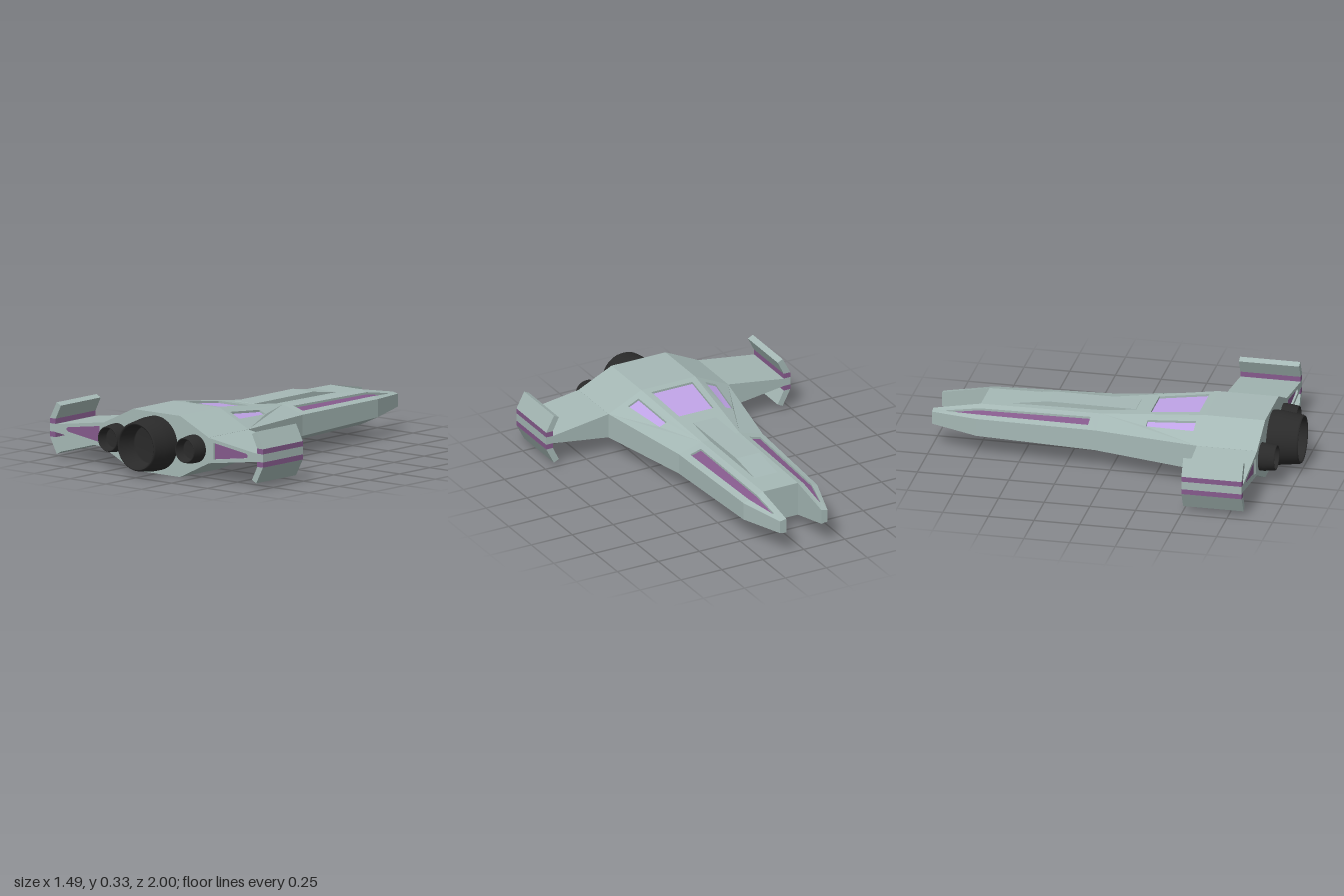
import * as THREE from 'three';
import { mergeGeometries } from 'three/addons/utils/BufferGeometryUtils.js';

const mat = (color, extra = {}) => new THREE.MeshStandardMaterial({ color, ...extra });
const HULL = mat(0xa5b8b5, { flatShading: true });
const HULL2 = mat(0xa5b8b5, { flatShading: true, side: THREE.DoubleSide });
const PURPLE = mat(0x855a8c, { flatShading: true });
const GLASS = mat(0xbfa3e6, { flatShading: true });
const DARK = mat(0x2a2a2a);

// Hull stations from tail to nose: inner/outer half-widths and the four corner heights
const S = [
  { z: 0.83, xi: 0.165, xo: 0.365, yt: 0.335, yu: 0.24, yl: 0.1, yb: 0.003 },
  { z: 0.5, xi: 0.165, xo: 0.365, yt: 0.335, yu: 0.24, yl: 0.1, yb: 0.003 },
  { z: -0.08, xi: 0.115, xo: 0.255, yt: 0.268, yu: 0.228, yl: 0.113, yb: 0.055 },
  { z: -0.74, xi: 0.107, xo: 0.225, yt: 0.26, yu: 0.22, yl: 0.122, yb: 0.07 },
  { z: -1, xi: 0.107, xo: 0.145, yt: 0.212, yu: 0.205, yl: 0.135, yb: 0.13 },
];

// Height of the upper skin at any point
function topY(x, z) {
  let i = 0;
  while (i < S.length - 2 && z < S[i + 1].z) i++;
  const a = S[i], b = S[i + 1], t = (a.z - z) / (a.z - b.z);
  const at = (k) => a[k] + (b[k] - a[k]) * t;
  const u = Math.max(0, (Math.abs(x) - at('xi')) / (at('xo') - at('xi')));
  return at('yt') + (at('yu') - at('yt')) * u;
}

// Flat outline in x,z draped on the upper skin, optionally pierced or sunk
function skin(outline, s = 1, hole = null, sink = 0) {
  const vec = (p) => new THREE.Vector2(p[0] * s, -p[1]);
  const shape = new THREE.Shape(outline.map(vec));
  if (hole) shape.holes.push(new THREE.Path(hole.map(vec)));
  const g = new THREE.ShapeGeometry(shape).toNonIndexed();
  const p = g.attributes.position;
  for (let i = 0; i < p.count; i++) {
    const x = p.getX(i), z = -p.getY(i);
    p.setXYZ(i, x, topY(x, z) - sink, z);
  }
  g.deleteAttribute('uv');
  g.computeVertexNormals();
  return g;
}

function soup(positions) {
  const g = new THREE.BufferGeometry();
  g.setAttribute('position', new THREE.Float32BufferAttribute(positions, 3));
  g.computeVertexNormals();
  return g;
}

// Adds a quad, mirrored in x when s is -1
function quad(out, s, a, b, c, d) {
  const q = s > 0 ? [a, b, c, d] : [d, c, b, a];
  for (const k of [0, 1, 2, 0, 2, 3]) out.push(q[k][0] * s, q[k][1], q[k][2]);
}

// Extruded x,y outline running from z0 to z1
function slab(points, s, z0, z1, holePts) {
  const vec = (p) => new THREE.Vector2(p[0] * s, p[1]);
  const shape = new THREE.Shape(points.map(vec));
  if (holePts) shape.holes.push(new THREE.Path(holePts.map(vec)));
  return new THREE.ExtrudeGeometry(shape, { depth: z1 - z0, bevelEnabled: false }).translate(0, 0, z0);
}

export function createModel() {
  const model = new THREE.Group();
  const add = (name, geo, material) => {
    const m = new THREE.Mesh(geo, material);
    m.name = name;
    model.add(m);
    return m;
  };

  // Recess outlines
  const DEPTH = 0.012;
  const canopy = [[-0.105, 0.19], [0.105, 0.19], [0.125, 0.46], [-0.125, 0.46]];
  const sideWindow = [[0.18, 0.19], [0.225, 0.19], [0.268, 0.46], [0.203, 0.46]];
  const stripRear = [[0.143, -0.74], [0.148, -0.13], [0.214, -0.13], [0.19, -0.74]];
  const stripNose = [[0.19, -0.74], [0.146, -0.92], [0.139, -0.92], [0.143, -0.74]];

  // Hull shell
  const faces = [], panels = [], walls = [];
  for (let i = 0; i < 4; i++) {
    const a = S[i], b = S[i + 1], prong = i === 3;
    if (!prong) {
      panels.push(skin([[-a.xi, a.z], [a.xi, a.z], [b.xi, b.z], [-b.xi, b.z]], 1, i === 1 ? canopy : null));
    }
    const ring = (q) => [[q.xi, q.yt, q.z], [q.xo, q.yu, q.z], [q.xo, q.yl, q.z], [q.xi, q.yb, q.z],
      prong ? [q.xi, q.yt, q.z] : [0, q.yb, q.z]];
    const A = ring(a), B = ring(b);
    const notchA = i === 3 ? stripNose : [];
    const notchB = i === 2 ? [...stripRear].reverse() : [];
    const outline = [[a.xi, a.z], ...[...notchA].reverse(), [a.xo, a.z], [b.xo, b.z], ...notchB, [b.xi, b.z]];
    for (const s of [1, -1]) {
      panels.push(skin(outline, s, i === 1 ? sideWindow : null));
      for (let k = 1; k < 4; k++) quad(faces, s, A[k + 1], B[k + 1], B[k], A[k]);
    }
  }
  // Tail plate, wall between the prongs, prong tips
  const [tail, , , fork, tip] = S;
  for (const s of [1, -1]) {
    const P = (q, x, y) => [x, q[y], q.z];
    quad(faces, s, P(tail, tail.xi, 'yt'), P(tail, 0, 'yt'), P(tail, 0, 'yb'), P(tail, tail.xi, 'yb'));
    quad(faces, s, P(tail, tail.xo, 'yu'), P(tail, tail.xi, 'yt'), P(tail, tail.xi, 'yb'), P(tail, tail.xo, 'yl'));
    quad(faces, s, P(fork, 0, 'yt'), P(fork, fork.xi, 'yt'), P(fork, fork.xi, 'yb'), P(fork, 0, 'yb'));
    quad(faces, s, P(tip, tip.xi, 'yt'), P(tip, tip.xo, 'yu'), P(tip, tip.xo, 'yl'), P(tip, tip.xi, 'yb'));
  }
  add('hull', soup(faces), HULL);
  add('upperHull', mergeGeometries(panels), HULL);

  // Sunken windows and long strips
  const rim = (pts, s, closed = true) => {
    for (let i = 0; i < pts.length - (closed ? 0 : 1); i++) {
      const [p, q] = [pts[i], pts[(i + 1) % pts.length]];
      const v = (c, d) => [c[0], topY(c[0], c[1]) - d, c[1]];
      quad(walls, s, v(p, 0), v(q, 0), v(q, DEPTH), v(p, DEPTH));
    }
  };
  add('canopyWindow', skin(canopy, 1, null, DEPTH), GLASS);
  rim(canopy, 1);
  for (const s of [1, -1]) {
    const side = s > 0 ? 'left' : 'right';
    add(side + 'Window', skin(sideWindow, s, null, DEPTH), GLASS);
    add(side + 'Strip', mergeGeometries([skin(stripRear, s, null, DEPTH), skin(stripNose, s, null, DEPTH)]), PURPLE);
    rim(sideWindow, s);
    rim(stripRear, s, false);
    rim(stripNose, s, false);
  }
  add('recessWalls', soup(walls), HULL2);

  // Raised spine
  const spine = new THREE.Shape([[-0.12, 0.27], [-0.1, 0.291], [0.38, 0.291], [0.58, 0.262], [0.58, 0.25], [-0.05, 0.25]]
    .map((p) => new THREE.Vector2(...p)));
  add('spine', new THREE.ExtrudeGeometry(spine, { depth: 0.14, bevelEnabled: false })
    .translate(0, 0, -0.07).rotateY(Math.PI / 2), HULL);

  // Wings with a sunken rear panel, and bent wingtip fins with two stripes
  const wing = [[0.36, 0.1], [0.71, 0.148], [0.71, 0.19], [0.36, 0.24]];
  const inset = [[0.4, 0.125], [0.625, 0.157], [0.637, 0.164], [0.637, 0.176], [0.625, 0.183], [0.4, 0.215]];
  const band = (y0, y1) => [[0.705, y0], [0.745, y0], [0.745, y1], [0.705, y1]];
  const vane = [[0.705, 0.22], [0.745, 0.22], [0.698, 0.31], [0.668, 0.295]];
  const lowerVane = vane.map(([x, y]) => [x, 0.34 - y]);
  for (const s of [1, -1]) {
    const side = s > 0 ? 'left' : 'right';
    add(side + 'Wing', mergeGeometries([slab(wing, s, 0.5, 0.815), slab(wing, s, 0.815, 0.83, inset)]), HULL);
    add(side + 'WingPanel', slab(inset, s, 0.81, 0.819), PURPLE);
    add(side + 'Fin', mergeGeometries([vane, lowerVane, band(0.148, 0.192)].map((p) => slab(p, s, 0.5, 0.83))), HULL);
    add(side + 'FinStripes', mergeGeometries([band(0.192, 0.22), band(0.12, 0.148)].map((p) => slab(p, s, 0.5, 0.83))), PURPLE);
  }

  // Engine nozzles: hollow turned bells
  const nozzle = (name, x, r, len) => {
    const profile = [[0, 0.35], [0.68, 0.35], [0.7, 0.4], [0.8, 0.97], [0.84, 1], [0.87, 1], [0.9, 0.95], [0.97, 0.5], [1, 0.3], [1, 0]]
      .map(([a, b]) => new THREE.Vector2(a * r, b * len)).reverse();
    const g = new THREE.LatheGeometry(profile, 40).rotateX(Math.PI / 2);
    const m = add(name, g, DARK);
    m.material.side = THREE.DoubleSide;
    m.position.set(x, 0.17, 0.83);
  };
  nozzle('mainEngine', 0, 0.147, 0.17);
  for (const s of [1, -1]) nozzle(s > 0 ? 'leftEngine' : 'rightEngine', s * 0.27, 0.076, 0.087);

  return model;
}
